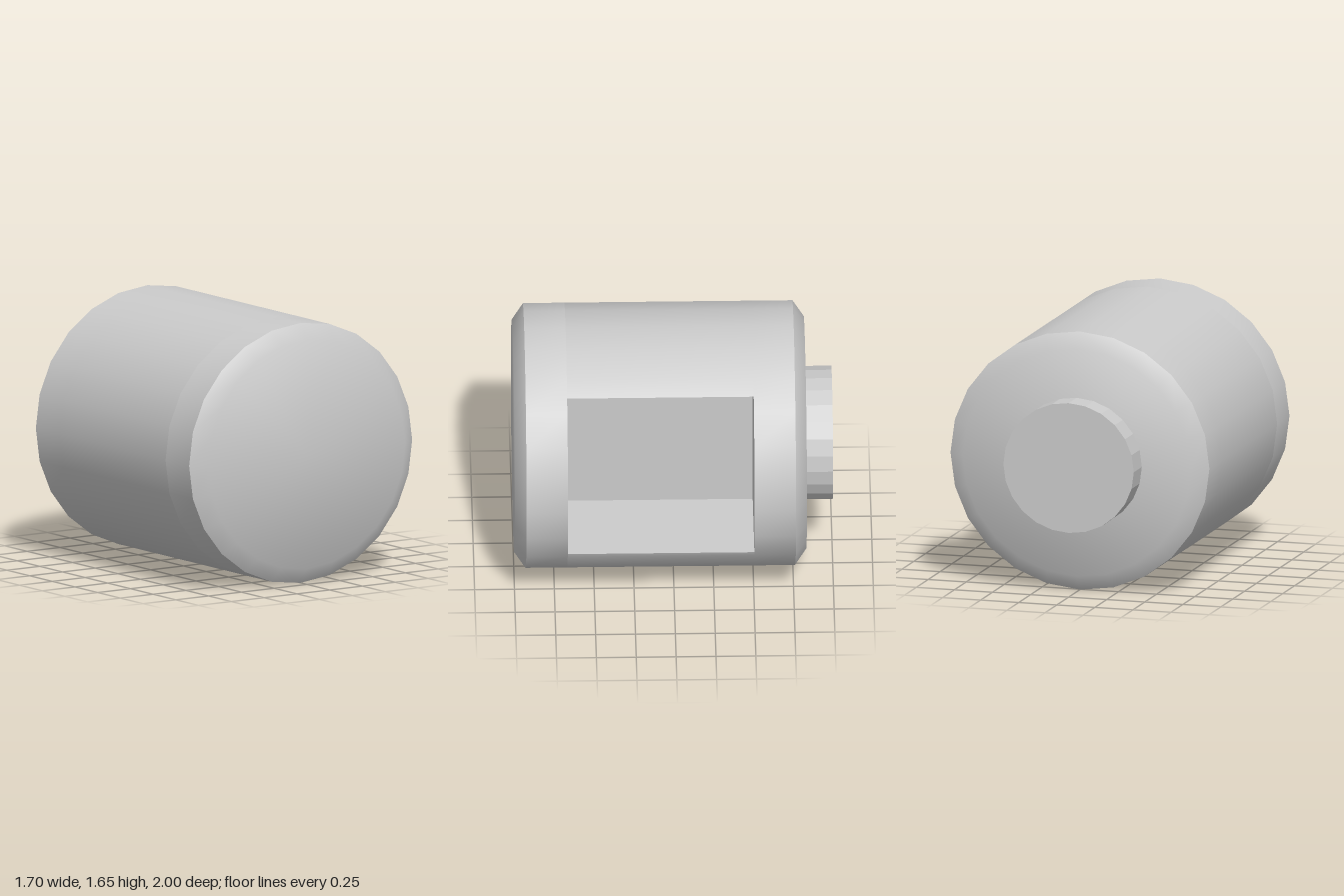
import * as THREE from 'three';
import { mergeGeometries, toCreasedNormals } from 'three/addons/utils/BufferGeometryUtils.js';

const SIDES = 24, RX = 0.85, RY = 0.827;
const NOTCH = { inner: 0.17, low: -0.385, high: 0.647, back: -0.5, front: 0.67 };

// Corner k of the faceted oval cross-section
function rim(k) {
  const a = (k / SIDES) * Math.PI * 2;
  return new THREE.Vector2(RX * Math.cos(a), RY * Math.sin(a));
}

// Point at height y on the facet between corners k and k + 1
function onFacet(k, y) {
  const a = rim(k), b = rim(k + 1);
  return a.lerp(b, (y - a.y) / (b.y - a.y));
}

function rimRun(from, to) {
  const pts = [];
  for (let k = from; k <= to; k++) pts.push(rim(k));
  return pts;
}

// Keep only positions, so that all pieces can be merged
function bare(geo) {
  const g = geo.index ? geo.toNonIndexed() : geo;
  g.deleteAttribute('normal');
  g.deleteAttribute('uv');
  g.clearGroups();
  return g;
}

// Turned end piece; the profile is [radius factor, z]
function endPiece(profile) {
  const pts = profile.map(([r, z]) => new THREE.Vector2(r, z));
  return bare(new THREE.LatheGeometry(pts, SIDES).rotateX(Math.PI / 2).scale(RX, RY, 1));
}

// Walls of an extruded outline, without its lids
function wallsOf(points, z0, z1) {
  const geo = new THREE.ExtrudeGeometry(new THREE.Shape(points), { depth: z1 - z0, bevelEnabled: false });
  const { start, count } = geo.groups.find((g) => g.materialIndex === 1);
  const walls = new THREE.BufferGeometry();
  const pos = geo.attributes.position.array.slice(start * 3, (start + count) * 3);
  walls.setAttribute('position', new THREE.BufferAttribute(pos, 3));
  return walls.translate(0, 0, z0);
}

export function createModel() {
  const model = new THREE.Group();

  const lowEdge = onFacet(-2, NOTCH.low), highEdge = onFacet(3, NOTCH.high);
  const lowCorner = new THREE.Vector2(NOTCH.inner, NOTCH.low);
  const highCorner = new THREE.Vector2(NOTCH.inner, NOTCH.high);

  // Middle of the drum with the rectangular pocket cut into its left side
  const middle = wallsOf([highEdge, ...rimRun(4, 22), lowEdge, lowCorner, highCorner], NOTCH.back, NOTCH.front);

  // End walls of the pocket, facing each other
  const segment = new THREE.Shape([lowCorner, lowEdge, ...rimRun(-1, 3), highEdge, highCorner]);
  const backWall = new THREE.ShapeGeometry(segment).translate(0, 0, NOTCH.back);
  const frontWall = new THREE.ShapeGeometry(segment).translate(0, 0, NOTCH.front);
  frontWall.index.array.reverse();

  // Drum with chamfered ends, shaded smoothly from chamfer to cap
  const drum = mergeGeometries([
    endPiece([[0, -0.83], [0.88, -0.83], [1, -0.76], [1, NOTCH.back]]),
    middle,
    bare(backWall),
    bare(frontWall),
    endPiece([[1, NOTCH.front], [1, 0.93], [0.88, 1], [0, 1]]),
  ]);
  const body = new THREE.Mesh(toCreasedNormals(drum, Math.PI / 4), new THREE.MeshStandardMaterial({ color: 0xcccccc }));
  body.name = 'notchedDrum';
  body.position.y = RY;
  model.add(body);

  // Faceted boss on the back
  const bossGeo = new THREE.CylinderGeometry(1, 1, 0.17, SIDES).rotateX(Math.PI / 2).scale(0.428, 0.416, 1);
  const boss = new THREE.Mesh(bossGeo, new THREE.MeshStandardMaterial({ color: 0xcccccc, flatShading: true }));
  boss.name = 'backBoss';
  boss.position.set(0, RY, -0.915);
  model.add(boss);

  return model;
}
